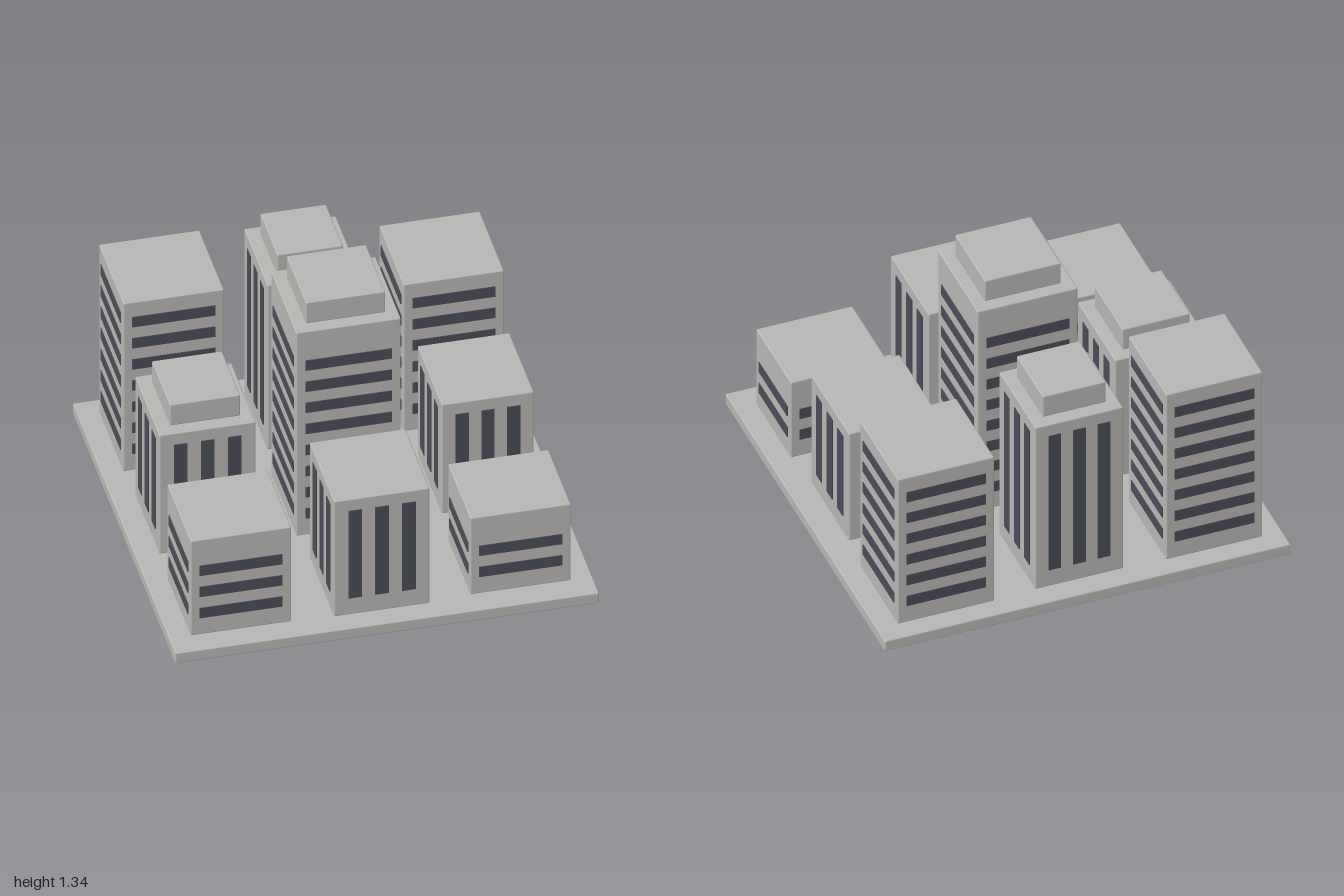
import * as THREE from 'three';
import { RoundedBoxGeometry } from 'three/addons/geometries/RoundedBoxGeometry.js';

const concrete = new THREE.MeshStandardMaterial({ color: 0xb8b6b3 });
concrete.name = 'concreteGrey';
const glass = new THREE.MeshStandardMaterial({ color: 0x4a4c56 });
glass.name = 'darkGlass';

const GROUND = 0.06; // top of the base slab
const PLATE = 0.008; // window plate thickness

// Softly bevelled block between two corners
function block(name, x0, x1, y0, y1, z0, z1) {
  const geometry = new RoundedBoxGeometry(x1 - x0, y1 - y0, z1 - z0, 2, 0.007);
  const mesh = new THREE.Mesh(geometry, concrete);
  mesh.position.set((x0 + x1) / 2, (y0 + y1) / 2, (z0 + z1) / 2);
  mesh.name = name;
  return mesh;
}

// Windows of one wall, lying in the plane z = 0 and facing +z
function facade(name, width, top, floors) {
  const group = new THREE.Group();
  group.name = name;
  const plate = (w, h, x, y) => {
    const mesh = new THREE.Mesh(new THREE.BoxGeometry(w, h, PLATE), glass);
    mesh.position.set(x, y, 0);
    mesh.name = floors ? 'windowBand' : 'windowColumn';
    group.add(mesh);
  };
  if (floors) {
    for (let i = 0; i < floors; i++) plate(width * 0.825, 0.057, 0, 0.184 + i * 0.12);
  } else {
    const low = 0.155, high = top - 0.064;
    for (const i of [-1, 0, 1]) plate(width * 0.142, high - low, i * width * 0.28, (low + high) / 2);
  }
  return group;
}

// A building: body, windows on four walls, optional roof box.
// floors = number of window bands; 0 gives three tall window columns.
function building({ name, x, z, top, floors = 0, roof }) {
  const group = new THREE.Group();
  group.name = name;
  group.add(block('body', x[0], x[1], GROUND, top, z[0], z[1]));
  const w = x[1] - x[0], d = z[1] - z[0];
  const cx = (x[0] + x[1]) / 2, cz = (z[0] + z[1]) / 2;
  ['front', 'left', 'back', 'right'].forEach((side, i) => {
    const angle = i * Math.PI / 2;
    const [width, reach] = i % 2 ? [d, w / 2] : [w, d / 2];
    const wall = facade(side + 'Windows', width, top, floors);
    wall.rotation.y = angle;
    wall.position.set(cx + Math.sin(angle) * reach, 0, cz + Math.cos(angle) * reach);
    group.add(wall);
  });
  if (roof) group.add(block('roofBox', roof.x[0], roof.x[1], top, top + 0.12, roof.z[0], roof.z[1]));
  return group;
}

const BUILDINGS = [
  { name: 'backRightBlock', x: [-0.9, -0.425], z: [-0.902, -0.427], top: 1.015, floors: 7 },
  { name: 'backMiddleTower', x: [-0.218, 0.215], z: [-0.89, -0.437], top: 0.995,
    roof: { x: [-0.157, 0.154], z: [-0.828, -0.497] } },
  { name: 'backLeftBlock', x: [0.422, 0.897], z: [-0.902, -0.427], top: 0.895, floors: 6 },
  { name: 'middleRightTower', x: [-0.89, -0.435], z: [-0.238, 0.235], top: 0.735,
    roof: { x: [-0.826, -0.494], z: [-0.178, 0.175] } },
  { name: 'centreTower', x: [-0.247, 0.247], z: [-0.247, 0.247], top: 1.215, floors: 8,
    roof: { x: [-0.188, 0.188], z: [-0.188, 0.188] } },
  { name: 'middleLeftTower', x: [0.442, 0.877], z: [-0.238, 0.235], top: 0.68 },
  { name: 'frontRightBlock', x: [-0.9, -0.425], z: [0.428, 0.885], top: 0.598, floors: 3 },
  { name: 'frontMiddleTower', x: [-0.226, 0.226], z: [0.421, 0.896], top: 0.715 },
  { name: 'frontLeftBlock', x: [0.422, 0.897], z: [0.44, 0.876], top: 0.495, floors: 2 },
];

export function createModel() {
  const city = new THREE.Group();
  city.name = 'cityBlock';
  city.add(block('baseSlab', -1, 1, 0, GROUND, -1, 1));
  for (const spec of BUILDINGS) city.add(building(spec));
  return city;
}
